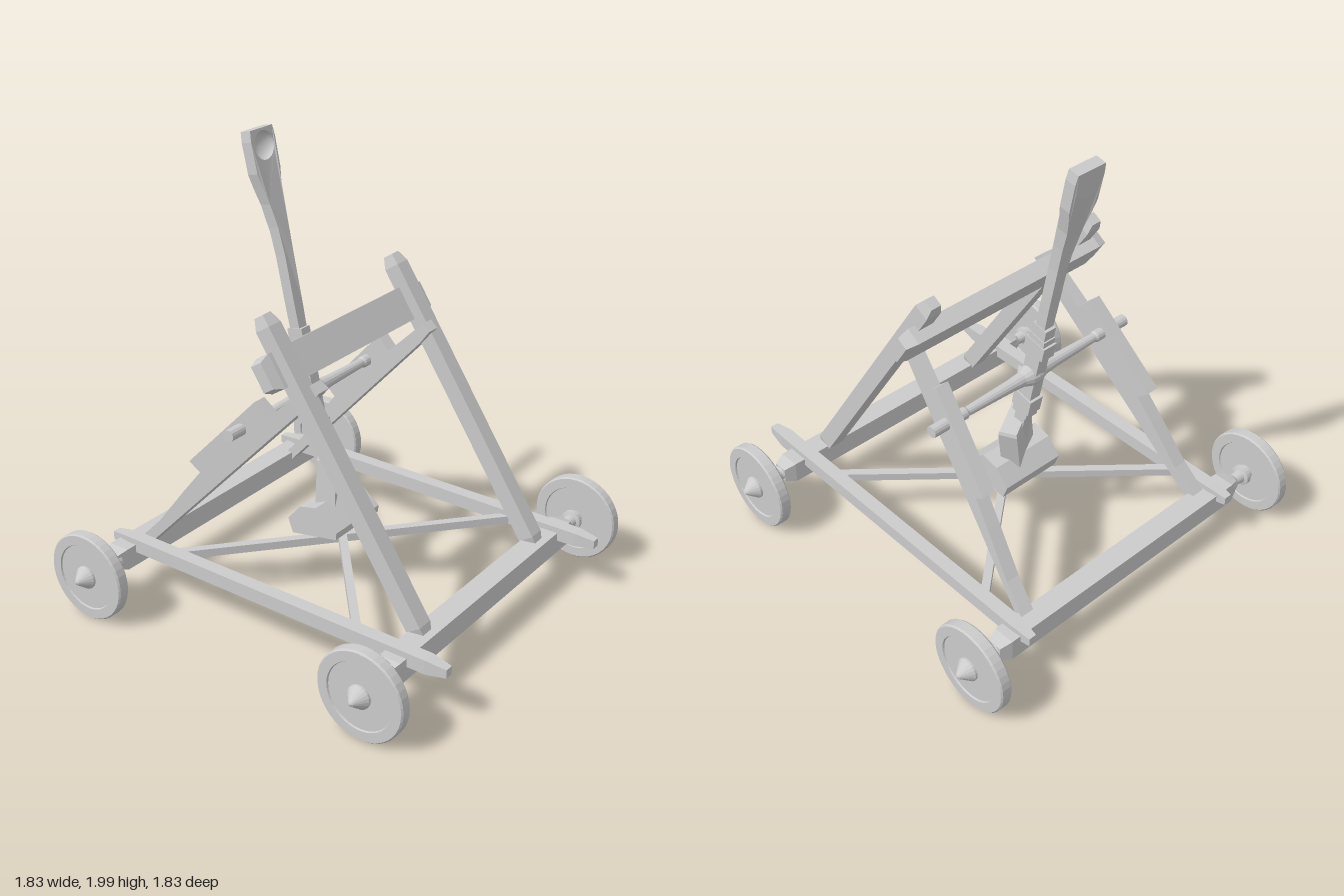
import * as THREE from 'three';

const material = new THREE.MeshStandardMaterial({ color: 0xcccccc, side: THREE.DoubleSide });

function add(parent, name, geometry, x = 0, y = 0, z = 0) {
  const flat = geometry.index ? geometry.toNonIndexed() : geometry;
  flat.computeVertexNormals();
  const mesh = new THREE.Mesh(flat, material);
  mesh.name = name;
  mesh.position.set(x, y, z);
  parent.add(mesh);
  return mesh;
}

// Rectangular timber between two points, its ends narrowed over the length c
function beam(parent, name, a, b, w, h, c = 0.04, end = 0.6) {
  const from = new THREE.Vector3(...a), to = new THREE.Vector3(...b);
  const length = from.distanceTo(to);
  const g = new THREE.BoxGeometry(w, h, length, 1, 1, 3);
  const p = g.attributes.position;
  for (let i = 0; i < p.count; i++) {
    const z = p.getZ(i), s = Math.sign(z);
    if (Math.abs(z) > length * 0.4) p.setXY(i, p.getX(i) * end, p.getY(i) * end);
    else p.setZ(i, s * (length / 2 - c));
  }
  const mesh = add(parent, name, g);
  mesh.position.copy(from).lerp(to, 0.5);
  mesh.lookAt(to);
  return mesh;
}

const polygon = (points) => new THREE.Shape(points.map(([x, y]) => new THREE.Vector2(x, y)));

function slab(points, depth) {
  const g = new THREE.ExtrudeGeometry(polygon(points), { depth, bevelEnabled: false });
  return g.translate(0, 0, -depth / 2);
}

// Solid turned about the z axis from [radius, z] points
function turned(parent, name, points, segments) {
  const g = new THREE.LatheGeometry(points.map(([r, z]) => new THREE.Vector2(r, z)), segments);
  g.rotateX(Math.PI / 2);
  const mesh = add(parent, name, g);
  return mesh;
}

function buildFrame(frame) {
  // Axle beams, across the model
  for (const x of [-0.722, 0.688]) beam(frame, 'axleBeam', [x, 0.203, -0.71], [x, 0.203, 0.71], 0.098, 0.098, 0.05, 0.65);

  for (const s of [-1, 1]) {
    const side = s > 0 ? 'front' : 'back';
    beam(frame, side + 'Rail', [-0.815, 0.247, s * 0.585], [0.91, 0.247, s * 0.585], 0.06, 0.062, 0.09, 0.6);
    beam(frame, side + 'Post', [0.688, 0.222, s * 0.435], [-0.075, 1.4, s * 0.435], 0.075, 0.074, 0.05, 0.65);
    beam(frame, 'diagonalBrace', [-0.53, 0.235, -s * 0.585], [0.49, 0.235, s * 0.585], 0.036, 0.036, 0.02, 1);

    // Slanted leg with a wide cheek that holds the pivot, leaning inward
    const leg = slab([
      [-0.735, 0.15], [0.125, 1.06], [0.175, 1.125], [0.14, 1.155], [-0.055, 0.97], [-0.115, 1.025],
      [-0.435, 0.685], [-0.385, 0.645], [-0.47, 0.535], [-0.6, 0.36], [-0.75, 0.2],
    ], 0.062);
    const p = leg.attributes.position;
    for (let i = 0; i < p.count; i++) {
      p.setZ(i, p.getZ(i) + s * (0.515 - (p.getX(i) + 0.72) * 0.146));
    }
    add(frame, side + 'Leg', leg);
  }

  // Stop bar against the posts
  const bar = beam(frame, 'stopBar', [0.003, 1.192, -0.548], [0.003, 1.192, 0.548], 0.075, 0.15, 0.05, 0.75);
  bar.rotation.z = 0.57;

  // Pivot rod
  const rod = [[0.05, 0], [0.046, 0.025], [0.032, 0.06], [0.027, 0.12], [0.02, 0.36], [0.026, 0.37], [0.026, 0.545], [0, 0.545]];
  const mirrored = rod.map(([r, z]) => [r, -z]).reverse().slice(0, -1);
  turned(frame, 'pivotRod', [...mirrored, ...rod], 14).position.set(-0.182, 0.89, 0);
}

function buildArm(arm) {
  // Upper arm widening to the spoon, bent slightly back
  const bend = (g) => {
    const p = g.attributes.position;
    for (let i = 0; i < p.count; i++) {
      p.setX(i, p.getX(i) - 0.025 * THREE.MathUtils.smoothstep(p.getY(i), 0.65, 0.95));
    }
    return g;
  };
  const half = [[0.023, 0.2], [0.027, 0.4], [0.028, 0.6], [0.034, 0.72], [0.044, 0.82], [0.06, 0.89], [0.074, 0.95], [0.076, 1.08], [0.07, 1.125]];
  const shape = polygon([...half, ...half.map(([z, y]) => [-z, y]).reverse()]);
  const hole = new THREE.Path();
  hole.absarc(0, 1.055, 0.06, 0, Math.PI * 2, true);
  shape.holes.push(hole);
  const upper = new THREE.ExtrudeGeometry(shape, { depth: 0.05, bevelEnabled: false, curveSegments: 12 });
  upper.translate(0, 0, -0.025).rotateY(Math.PI / 2);
  add(arm, 'upperArm', bend(upper));

  // Bowl of the spoon and its closed back
  const bowlProfile = [];
  for (let i = 0; i <= 6; i++) {
    const t = (i / 6) * Math.PI / 2;
    bowlProfile.push(new THREE.Vector2(0.061 * Math.sin(t), -0.04 * Math.cos(t)));
  }
  const bowl = new THREE.LatheGeometry(bowlProfile, 24);
  bowl.rotateZ(-Math.PI / 2).translate(0.025, 1.055, 0);
  const bowlMesh = add(arm, 'spoonBowl', bend(bowl));
  bowlMesh.geometry = bowl;
  bowl.computeVertexNormals();
  const back = new THREE.CircleGeometry(0.061, 24);
  back.rotateY(-Math.PI / 2).translate(-0.025, 1.055, 0);
  add(arm, 'spoonBack', bend(back));

  // Lower shaft, sleeve and collars: name, centre height, size
  const blocks = [
    ['lowerShaft', -0.2, 0.058, 0.8, 0.046],
    ['sleeve', 0.07, 0.076, 0.43, 0.056],
    ['upperCollar', 0.165, 0.108, 0.07, 0.068],
    ['upperBand', 0.215, 0.088, 0.03, 0.062],
    ['lowerCollar', -0.165, 0.1, 0.08, 0.07],
    ['lowerBand', -0.215, 0.082, 0.05, 0.064],
  ];
  for (const [name, y, w, h, d] of blocks) add(arm, name, new THREE.BoxGeometry(w, h, d), 0, y, 0);

  // Counterweight block
  beam(arm, 'counterweight', [0, -0.455, -0.168], [0, -0.455, 0.168], 0.084, 0.18, 0.015, 0.92);
}

function buildWheel(parent, x, s) {
  const wheel = new THREE.Group();
  wheel.name = 'wheel';
  wheel.position.set(x, 0.2, 0);
  if (s < 0) wheel.rotation.y = Math.PI;
  parent.add(wheel);
  // Disc with a raised rim on both faces
  turned(wheel, 'disc', [
    [0, 0.81], [0.145, 0.81], [0.148, 0.803], [0.19, 0.803], [0.196, 0.81],
    [0.196, 0.851], [0.19, 0.858], [0.148, 0.858], [0.145, 0.851], [0, 0.851],
  ], 40);
  // Axle neck, collar and pointed cap
  turned(wheel, 'hub', [
    [0.046, 0.68], [0.034, 0.715], [0.026, 0.725], [0.03, 0.765], [0.046, 0.77], [0.046, 0.79], [0.035, 0.792], [0.035, 0.81],
  ], 20);
  turned(wheel, 'hubCap', [[0.051, 0.845], [0.051, 0.86], [0.012, 0.908], [0, 0.915]], 20);
}

export function createModel() {
  const model = new THREE.Group();
  model.name = 'catapult';

  const frame = new THREE.Group();
  frame.name = 'frame';
  frame.position.z = -0.008;
  model.add(frame);
  buildFrame(frame);

  const arm = new THREE.Group();
  arm.name = 'throwingArm';
  arm.position.set(-0.182, 0.89, 0);
  arm.rotation.z = 0.212;
  model.add(arm);
  buildArm(arm);

  // Flared foot under the counterweight with two small prongs
  const foot = slab([[-0.165, 0.28], [0.065, 0.32], [0.068, 0.352], [-0.04, 0.44], [-0.125, 0.42], [-0.19, 0.345]], 0.31);
  add(model, 'counterweightFoot', foot);
  for (const x of [-0.075, -0.04]) beam(model, 'prong', [x, 0.36, 0], [x - 0.01, 0.27, 0], 0.016, 0.016, 0.01, 0.7);

  for (const x of [-0.72, 0.69]) for (const s of [-1, 1]) buildWheel(model, x, s);
  return model;
}
